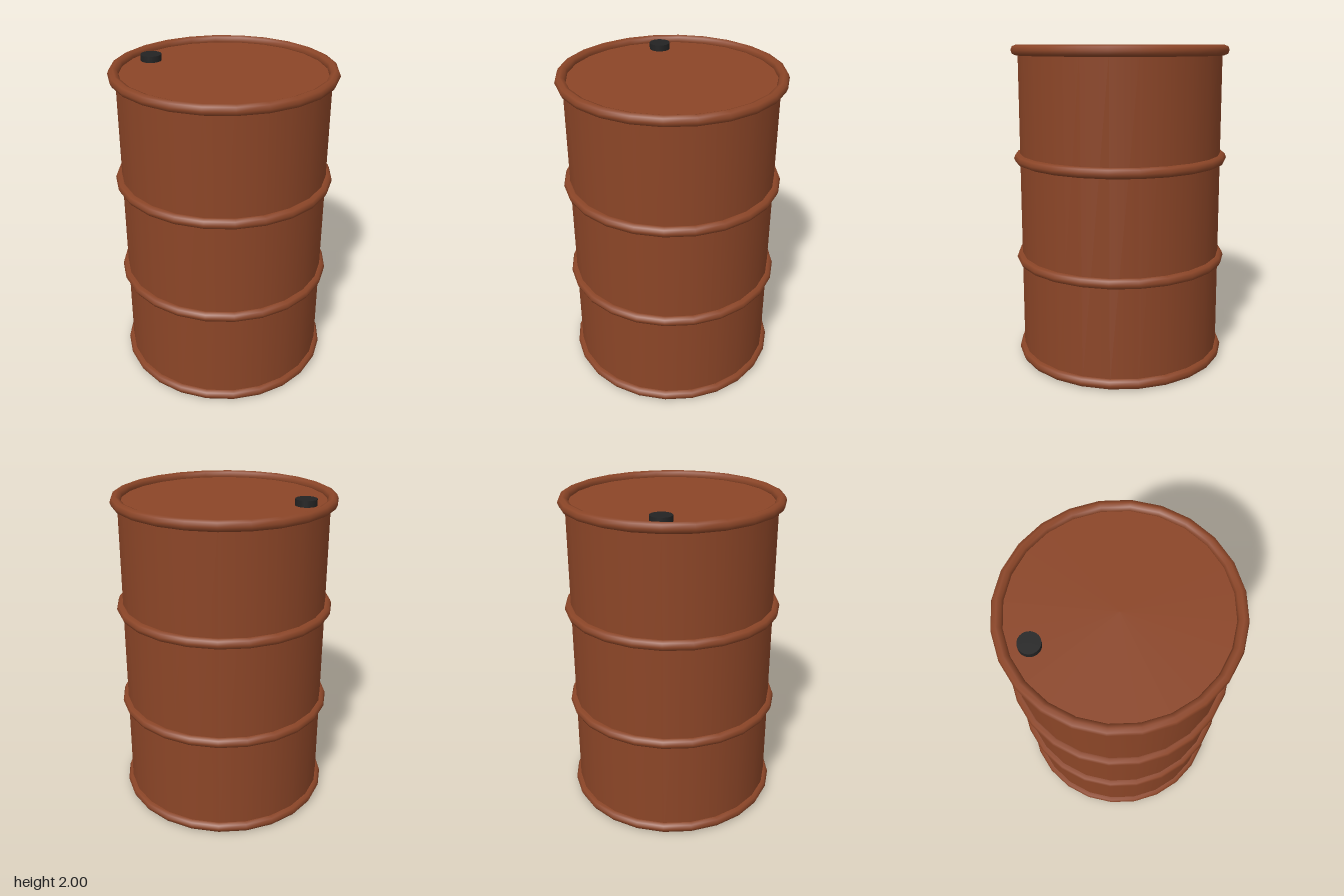
import * as THREE from 'three';

export function createModel() {
  const model = new THREE.Group();
  const rust = new THREE.MeshStandardMaterial({ color: 0x8b4527 });
  rust.name = 'rust brown';
  const black = new THREE.MeshStandardMaterial({ color: 0x232323 });
  black.name = 'black';

  const add = (name, geometry, material, x, y, z) => {
    const mesh = new THREE.Mesh(geometry, material);
    mesh.name = name;
    mesh.position.set(x, y, z);
    model.add(mesh);
  };

  // Slightly tapered barrel, its ends sunk within the rims
  const bottom = 0.025, top = 1.96;
  add('body', new THREE.CylinderGeometry(0.633, 0.645, top - bottom, 24), rust, 0, (top + bottom) / 2, 0);

  // Two rims and two hoops
  const ring = new THREE.TorusGeometry(0.644, 0.032, 8, 24).rotateX(-Math.PI / 2);
  const rings = { bottomRim: 0.032, lowerHoop: 0.66, upperHoop: 1.305, topRim: 1.968 };
  for (const [name, y] of Object.entries(rings)) add(name, ring, rust, 0, y, 0);

  // Bung in the lid
  add('bungCap', new THREE.CylinderGeometry(0.064, 0.064, 0.05, 24), black, -0.34, 1.973, -0.365);

  return model;
}
